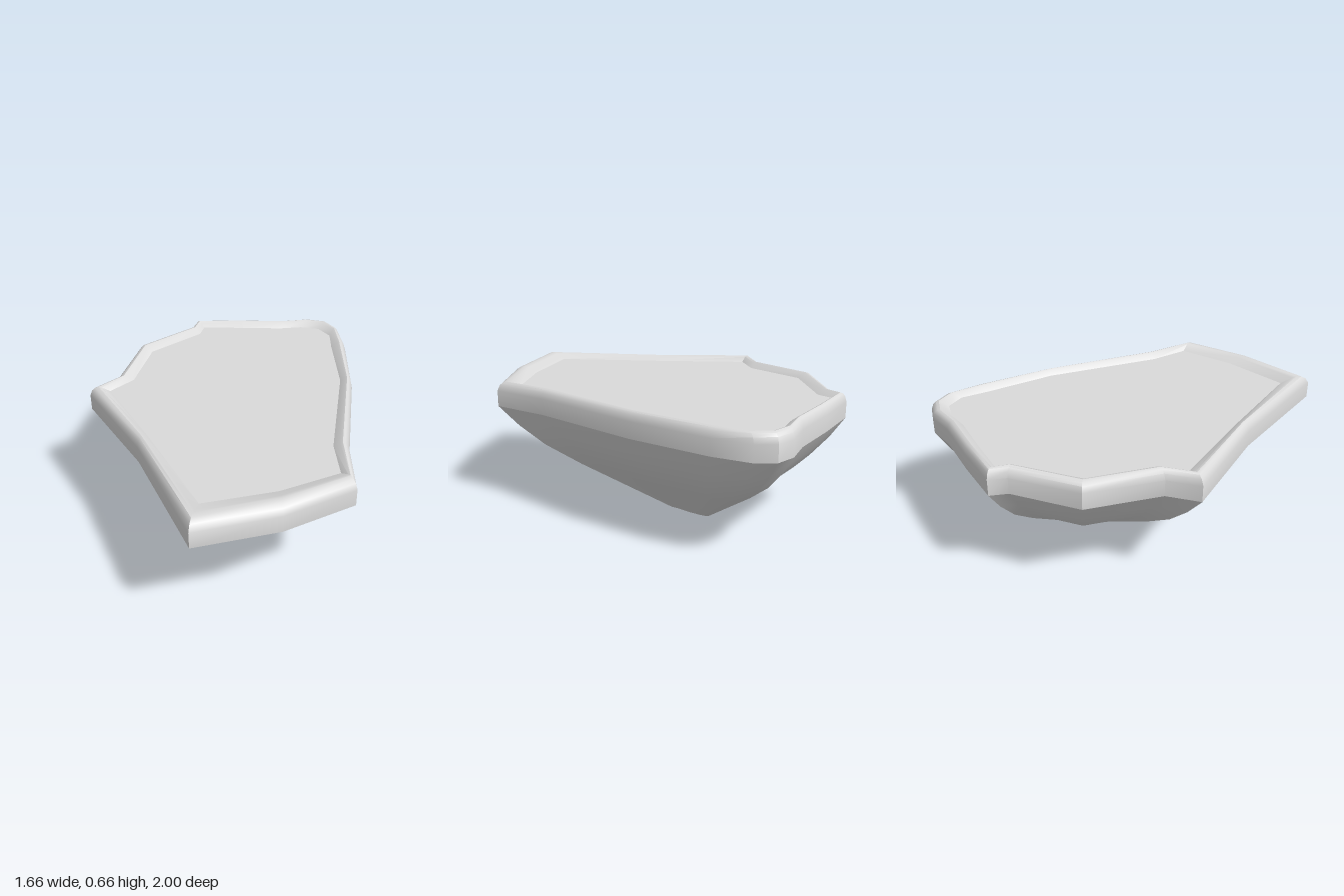
import * as THREE from 'three';
import { toCreasedNormals } from 'three/addons/utils/BufferGeometryUtils.js';

// Rim outlines as [x, z], clockwise seen from above, starting at the back tip
const OUTER = [
  [-0.10, -1.0], [0, -0.96], [0.135, -0.81], [0.38, -0.44], [0.655, 0.095], [0.83, 0.345],
  [0.655, 0.685], [0.385, 1.0], [-0.2, 0.645], [-0.725, 0.415], [-0.69, 0.245], [-0.83, -0.115],
  [-0.73, -0.465], [-0.755, -0.555], [-0.54, -0.71], [-0.31, -0.86], [-0.2, -0.965],
];
const INNER = [
  [-0.10, -0.905], [0, -0.865], [0.08, -0.745], [0.31, -0.435], [0.585, 0.13], [0.72, 0.30],
  [0.56, 0.57], [0.32, 0.84], [-0.2, 0.565], [-0.64, 0.35], [-0.615, 0.19], [-0.74, -0.115],
  [-0.65, -0.45], [-0.68, -0.53], [-0.485, -0.66], [-0.295, -0.78], [-0.2, -0.865],
];
const CENTRE = [-0.1, -0.22]; // point the underside tapers towards

// Outer outline shrunk towards the centre
const tapered = (s, y) => OUTER.map(([x, z]) =>
  [CENTRE[0] + (x - CENTRE[0]) * s, y, CENTRE[1] + (z - CENTRE[1]) * s]);

// Outline blended from the outer to the inner rim
const blended = (f, y) => OUTER.map(([x, z], i) =>
  [x + (INNER[i][0] - x) * f, y, z + (INNER[i][1] - z) * f]);

// Skin a list of closed rings, creasing the sharp edges
function loft(rings) {
  const pos = [];
  const n = OUTER.length;
  for (let r = 0; r < rings.length - 1; r++) {
    for (let i = 0; i < n; i++) {
      const j = (i + 1) % n;
      const a = rings[r][i], b = rings[r][j], c = rings[r + 1][i], d = rings[r + 1][j];
      pos.push(...a, ...c, ...b, ...b, ...c, ...d);
    }
  }
  const geo = new THREE.BufferGeometry();
  geo.setAttribute('position', new THREE.Float32BufferAttribute(pos, 3));
  return toCreasedNormals(geo, 0.6);
}

// Flat cap over a ring, facing up (1) or down (-1)
function cap(ring, facing) {
  const shape = new THREE.Shape(ring.map(([x, , z]) => new THREE.Vector2(x, -facing * z)));
  return new THREE.ShapeGeometry(shape).rotateX(-facing * Math.PI / 2).translate(0, ring[0][1], 0);
}

export function createModel() {
  const group = new THREE.Group();
  const stone = new THREE.MeshStandardMaterial({ color: 0xdadada });
  stone.name = 'pale stone grey';

  const add = (name, geometry) => {
    const mesh = new THREE.Mesh(geometry, stone);
    mesh.name = name;
    group.add(mesh);
  };

  // Curved underside narrowing to a small foot
  const under = [[0.14, 0], [0.59, 0.22], [0.77, 0.32], [0.9, 0.423], [1, 0.525]]
    .map(([s, y]) => tapered(s, y));
  add('underside', loft(under));
  add('foot', cap(under[0], -1));

  // Upright rim, rounded over the top and sloping in to the recessed surface
  const rim = [[0, 0.525], [0, 0.61], [0.12, 0.64], [0.28, 0.655], [0.45, 0.66], [0.6, 0.655], [1, 0.632]]
    .map(([f, y]) => blended(f, y));
  add('rim', loft(rim));
  add('topSurface', cap(rim[rim.length - 1], 1));

  return group;
}
